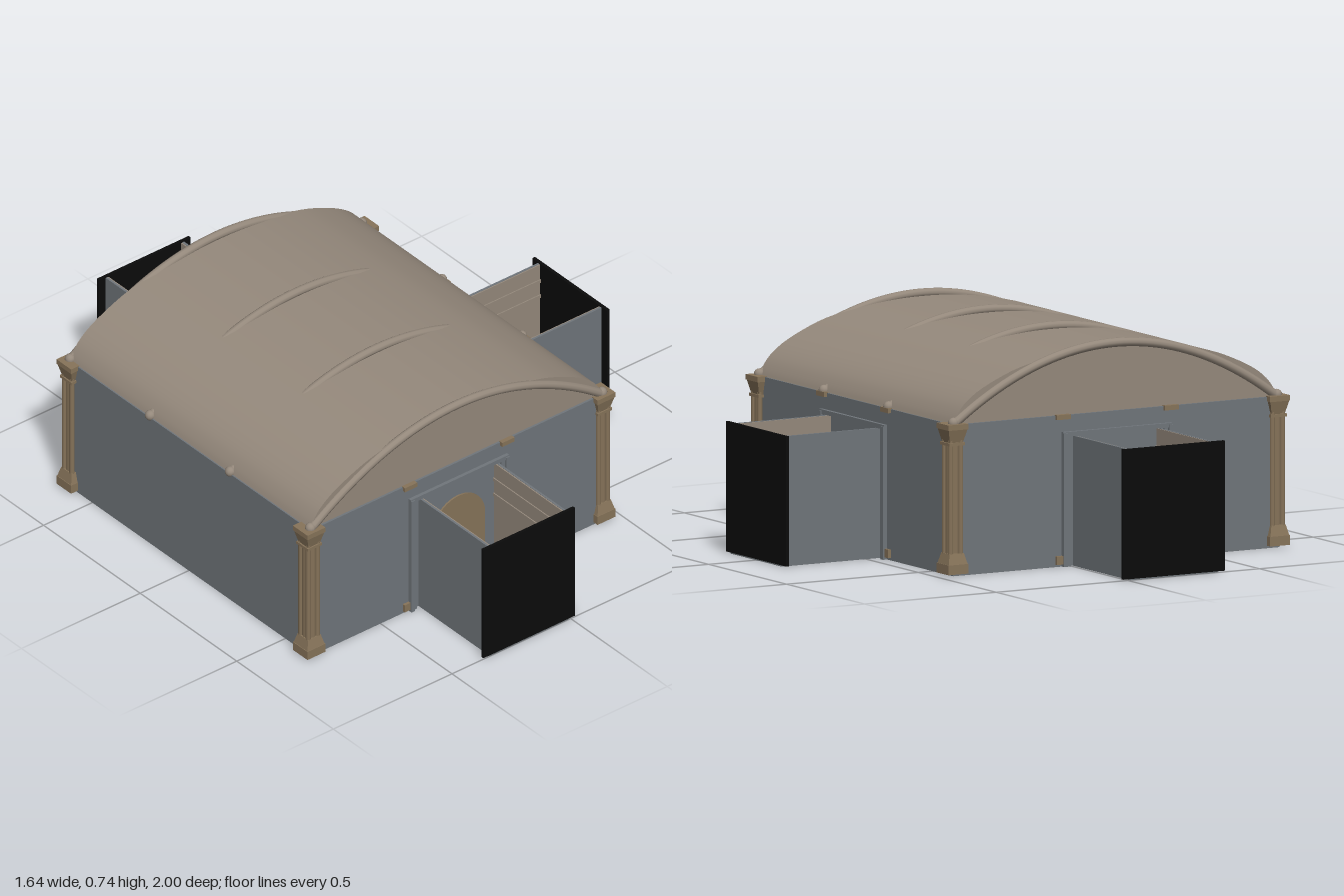
import * as THREE from 'three';
import { toCreasedNormals } from 'three/addons/utils/BufferGeometryUtils.js';

const mat = (name, color) => new THREE.MeshStandardMaterial({ name, color });

export function createModel() {
  const grey = mat('wall grey', 0x70767b);
  const stone = mat('roof stone', 0x95897c);
  const tan = mat('column tan', 0x87745a);
  const brown = mat('floor brown', 0x7b6a54);
  const black = mat('end black', 0x0b0b0b);

  const model = new THREE.Group();
  model.name = 'vaultedHall';
  const CX = -0.175, HW = 0.62, HD = 0.63, EAVE = 0.5;

  const add = (parent, name, geo, material, x = 0, y = 0, z = 0) => {
    const m = new THREE.Mesh(geo, material);
    m.name = name;
    m.position.set(x, y, z);
    parent.add(m);
    return m;
  };
  // Box given by its centre in x and z and its bottom and top in y
  const box = (parent, name, material, x, z, w, d, y0, y1) =>
    add(parent, name, new THREE.BoxGeometry(w, y1 - y0, d), material, x, (y0 + y1) / 2, z);

  // Main hall
  const hall = new THREE.Group();
  hall.name = 'hall';
  hall.position.x = CX;
  model.add(hall);
  box(hall, 'hallWalls', grey, 0, 0, HW * 2, HD * 2, 0, EAVE);

  // Vaulted roof, a mirrored profile pushed along z
  const half = [[0.615, 0.5], [0.603, 0.525], [0.575, 0.562], [0.525, 0.6], [0.45, 0.637],
    [0.36, 0.67], [0.22, 0.7], [0.1, 0.713]];
  const points = [...half, [0, 0.716], ...half.map(([x, y]) => [-x, y]).reverse()]
    .map(([x, y]) => new THREE.Vector2(x, y));
  const profile = new THREE.Shape(new THREE.SplineCurve(points).getPoints(48));
  const vault = new THREE.ExtrudeGeometry(profile, { depth: 1.244, bevelEnabled: false });
  add(hall, 'vaultRoof', toCreasedNormals(vault, 0.6), stone, 0, 0, -0.622);

  // Arched ribs, which break through the roof only at the crown and the eaves
  const ribPoints = [];
  for (let i = 0; i <= 16; i++) {
    const t = i / 8 - 1;
    ribPoints.push(new THREE.Vector3(t * 0.61, 0.503 + 0.221 * (1 - t * t), 0));
  }
  const ribGeo = new THREE.TubeGeometry(new THREE.CatmullRomCurve3(ribPoints), 48, 0.015, 10);
  for (const z of [-0.622, -0.207, 0.207, 0.622]) {
    add(hall, 'roofRib', ribGeo, stone, 0, 0, z);
    for (const s of [-1, 1])
      add(hall, 'ribFoot', new THREE.SphereGeometry(0.018, 12, 8), stone, s * 0.614, 0.505, z);
  }

  // Clustered corner columns with stepped bases and flared capitals
  const square = (rBottom, rTop, h) =>
    new THREE.CylinderGeometry(rTop * Math.SQRT2, rBottom * Math.SQRT2, h, 4).rotateY(Math.PI / 4).toNonIndexed();
  const flat = (g) => { g.computeVertexNormals(); return g; };
  for (const sx of [-1, 1]) for (const sz of [-1, 1]) {
    const col = new THREE.Group();
    col.name = 'cornerColumn';
    col.position.set(sx * 0.611, 0, sz * 0.612);
    hall.add(col);
    box(col, 'columnPlinth', tan, 0, 0, 0.076, 0.076, 0.008, 0.04);
    add(col, 'columnBase', flat(square(0.036, 0.027, 0.035)), tan, 0, 0.0575, 0);
    add(col, 'columnCore', new THREE.CylinderGeometry(0.025, 0.025, 0.4, 8), tan, 0, 0.26, 0);
    for (const ax of [-1, 1]) for (const az of [-1, 1])
      add(col, 'columnShaft', new THREE.CylinderGeometry(0.009, 0.009, 0.38, 8), tan, ax * 0.019, 0.26, az * 0.019);
    box(col, 'columnNeck', tan, 0, 0, 0.06, 0.06, 0.432, 0.442);
    add(col, 'columnCapital', flat(square(0.025, 0.036, 0.045)), tan, 0, 0.464, 0);
    box(col, 'columnAbacus', tan, 0, 0, 0.076, 0.076, 0.485, 0.503);
  }

  // Open-topped passage running along +z from the hall wall at z = 0
  const makePassage = (length) => {
    const g = new THREE.Group();
    g.name = 'passage';
    const mid = length / 2;
    box(g, 'passageBase', grey, 0, mid, 0.33, length, 0, 0.006);
    box(g, 'passageFloor', brown, 0, mid, 0.32, length, 0.006, 0.012);
    for (const s of [-1, 1]) {
      box(g, 'passageWall', grey, s * 0.161, mid, 0.008, length, 0, 0.43);
      box(g, 'passageLining', stone, s * 0.155, mid, 0.005, length, 0.012, 0.429);
      for (const y of [0.06, 0.3, 0.36])
        box(g, 'wallMoulding', stone, s * 0.152, mid, 0.007, length, y, y + 0.012);
      box(g, 'doorPost', grey, s * 0.2, 0.004, 0.014, 0.024, 0, 0.44);
      box(g, 'doorPostShaft', grey, s * 0.185, 0.002, 0.014, 0.014, 0, 0.43);
      box(g, 'postFoot', tan, s * 0.218, 0.003, 0.026, 0.014, 0.008, 0.036);
      box(g, 'eaveBlock', tan, s * 0.205, 0.003, 0.052, 0.016, 0.487, 0.503);
    }
    box(g, 'doorLintel', grey, 0, 0.003, 0.414, 0.018, 0.43, 0.445);
    // Arched doorway set on the hall wall
    const arch = new THREE.Shape();
    arch.moveTo(-0.11, 0.012).lineTo(0.11, 0.012).lineTo(0.11, 0.26);
    arch.absarc(0, 0.26, 0.11, 0, Math.PI, false).lineTo(-0.11, 0.012);
    add(g, 'archedDoor', new THREE.ExtrudeGeometry(arch, { depth: 0.006, bevelEnabled: false, curveSegments: 20 }), tan, 0, 0, 0.001);
    box(g, 'endWall', black, 0, length - 0.005, 0.386, 0.011, 0.004, 0.434);
    return g;
  };
  const front = makePassage(0.37);
  front.name = 'frontPassage';
  front.position.set(CX, 0, HD);
  const back = makePassage(0.37);
  back.name = 'backPassage';
  back.position.set(CX, 0, -HD);
  back.rotation.y = Math.PI;
  const side = makePassage(0.375);
  side.name = 'leftPassage';
  side.position.set(CX + HW, 0, 0);
  side.rotation.y = Math.PI / 2;
  model.add(front, back, side);

  return model;
}
